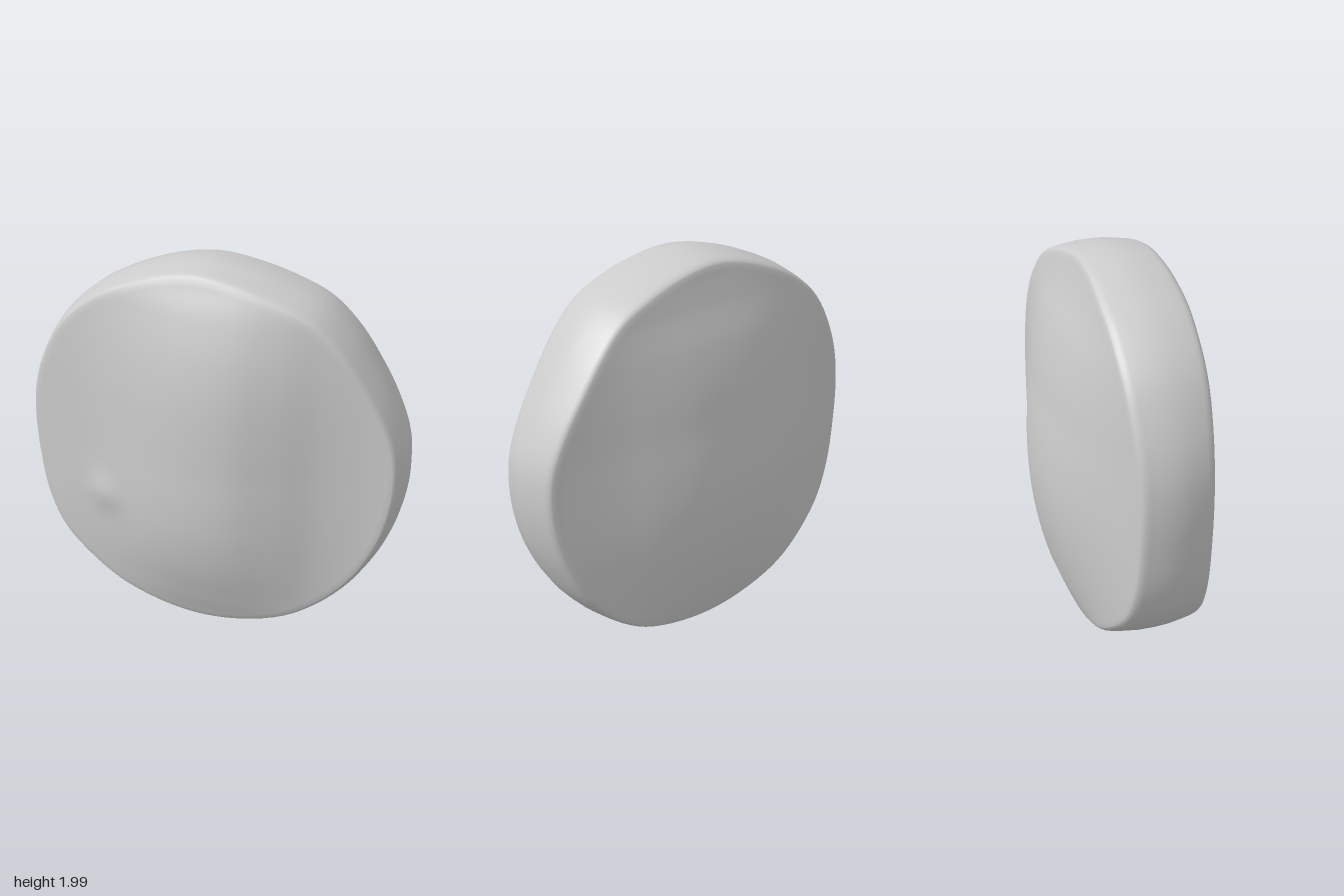
import * as THREE from 'three';

const SEGMENTS = 128, FACE_RINGS = 36;

// Smooth function through evenly spaced samples
function profile(values, start, end) {
  const curve = new THREE.SplineCurve(values.map((v, i) => new THREE.Vector2(i, v)));
  return u => curve.getPoint(THREE.MathUtils.clamp((u - start) / (end - start), 0, 1)).y;
}

// A domed face: low edge height, raised by a crown across x and along y
function dome(edge, peak, acrossX, alongY) {
  const fx = profile(acrossX, -1, 1), fy = profile(alongY, 0, 2);
  return (x, y) => edge + (fy(y) - edge) * (fx(x) - edge) / (peak - edge);
}

const frontDome = dome(0.15, 0.4,
  [0.16, 0.2, 0.245, 0.31, 0.37, 0.396, 0.38, 0.31, 0.22, 0.17, 0.155],
  [0.215, 0.285, 0.35, 0.388, 0.4, 0.396, 0.39, 0.375, 0.34, 0.28, 0.2]);
const backDome = dome(0.18, 0.4,
  [0.185, 0.23, 0.29, 0.35, 0.39, 0.4, 0.39, 0.35, 0.29, 0.235, 0.19],
  [0.23, 0.3, 0.352, 0.385, 0.397, 0.387, 0.362, 0.335, 0.29, 0.225, 0.18]);

// Small knob low on one side of the front
const knob = (x, y) => 0.022 * Math.exp(-((x + 0.54) ** 2 + (y - 0.72) ** 2) / 0.009);
const front = (x, y) => frontDome(x, y) + knob(x, y);
const back = (x, y) => -backDome(x, y);

// Slightly irregular round outline, counter-clockwise
const outline = new THREE.CatmullRomCurve3([
  [1, 1], [0.985, 1.17], [0.915, 1.35], [0.81, 1.53], [0.68, 1.71], [0.54, 1.84], [0.36, 1.92],
  [0.165, 1.975], [-0.04, 2], [-0.22, 1.975], [-0.4, 1.915], [-0.6, 1.815], [-0.79, 1.65],
  [-0.92, 1.43], [-0.98, 1.25], [-1, 1.07], [-0.99, 0.85], [-0.95, 0.6], [-0.86, 0.4],
  [-0.7, 0.24], [-0.5, 0.11], [-0.25, 0.03], [-0.03, 0.005], [0.2, 0.03], [0.45, 0.105],
  [0.65, 0.235], [0.81, 0.41], [0.925, 0.63], [0.98, 0.82],
].map(([x, y]) => new THREE.Vector3(x, y, 0)), true);

// Cross-section rings from front centre, over the rounded rim, to back centre
function crossSection() {
  const rings = [];
  for (let i = 1; i <= FACE_RINGS; i++) {
    const s = 0.955 * i / FACE_RINGS;
    rings.push({ s, z: (x, y) => front(x, y) });
  }
  const rim = [[0.966, 0.006], [0.975, 0.018], [0.981, 0.037], [0.988, 0.075]];
  for (const [s, d] of rim) rings.push({ s, z: (x, y) => front(x, y) - d });
  rings.push({ s: 0.998, z: (x, y) => 0.65 * front(x, y) + 0.35 * back(x, y) });
  rings.push({ s: 1, z: (x, y) => 0.5 * (front(x, y) + back(x, y)) });
  rings.push({ s: 0.998, z: (x, y) => 0.35 * front(x, y) + 0.65 * back(x, y) });
  for (const [s, d] of rim.slice().reverse()) rings.push({ s, z: (x, y) => back(x, y) + d });
  for (let i = FACE_RINGS; i >= 1; i--) {
    const s = 0.955 * i / FACE_RINGS;
    rings.push({ s, z: (x, y) => back(x, y) });
  }
  return rings;
}

function pebbleGeometry() {
  const rings = crossSection(), positions = [0, 1, front(0, 1)], index = [];
  const edge = Array.from({ length: SEGMENTS }, (_, j) => outline.getPoint(j / SEGMENTS));
  for (const { s, z } of rings) {
    for (const p of edge) {
      const x = p.x * s, y = 1 + (p.y - 1) * s;
      positions.push(x, y, z(x, y));
    }
  }
  positions.push(0, 1, back(0, 1));
  const last = positions.length / 3 - 1;
  const id = (r, j) => 1 + r * SEGMENTS + j % SEGMENTS;
  for (let j = 0; j < SEGMENTS; j++) {
    index.push(0, id(0, j), id(0, j + 1));
    for (let r = 0; r < rings.length - 1; r++) {
      const a = id(r, j), b = id(r + 1, j), c = id(r + 1, j + 1), d = id(r, j + 1);
      index.push(a, b, c, a, c, d);
    }
    index.push(last, id(rings.length - 1, j + 1), id(rings.length - 1, j));
  }
  const geometry = new THREE.BufferGeometry();
  geometry.setAttribute('position', new THREE.Float32BufferAttribute(positions, 3));
  geometry.setIndex(index);
  geometry.computeVertexNormals();
  return geometry;
}

export function createModel() {
  const group = new THREE.Group();
  group.name = 'pebble';
  const stone = new THREE.Mesh(pebbleGeometry(), new THREE.MeshStandardMaterial({ color: 0xcccccc }));
  stone.name = 'stoneBody';
  group.add(stone);
  return group;
}
